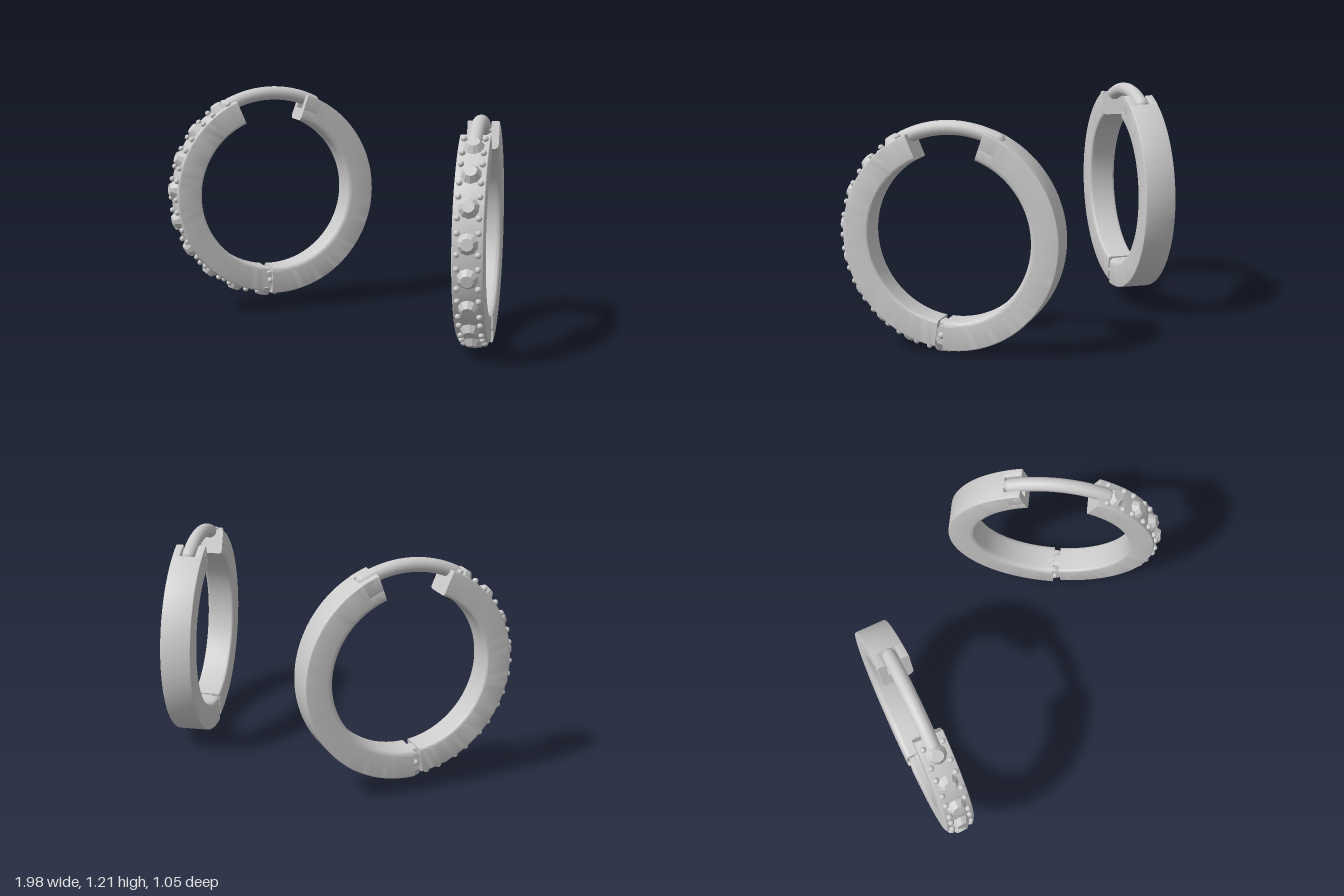
import * as THREE from 'three';
import { mergeGeometries, toCreasedNormals } from 'three/addons/utils/BufferGeometryUtils.js';

const material = new THREE.MeshStandardMaterial({ color: 0xcccccc });
const rad = THREE.MathUtils.degToRad;

function part(name, geometry, parent, x = 0, y = 0, z = 0) {
  const mesh = new THREE.Mesh(geometry, material);
  mesh.name = name;
  mesh.position.set(x, y, z);
  parent.add(mesh);
  return mesh;
}

// Cross-section of a band: radius against width, with rounded inner and outer edges
function section(r0, r1, w0, w1, inner, outer) {
  const s = new THREE.Shape();
  s.moveTo(r0 + inner, w0);
  s.lineTo(r1 - outer, w0);
  s.quadraticCurveTo(r1, w0, r1, w0 + outer);
  s.lineTo(r1, w1 - outer);
  s.quadraticCurveTo(r1, w1, r1 - outer, w1);
  s.lineTo(r0 + inner, w1);
  s.quadraticCurveTo(r0, w1, r0, w1 - inner);
  s.lineTo(r0, w0 + inner);
  s.quadraticCurveTo(r0, w0, r0 + inner, w0);
  return s;
}

// Solid arc of a section about the x axis; angles in degrees, from +z up towards +y
function arcBand(shape, from, to) {
  const a = rad(from), b = rad(to);
  const points = shape.getPoints(6);
  const steps = Math.max(4, Math.ceil((to - from) / 3));
  const wall = new THREE.LatheGeometry(points, steps, a, b - a);
  const startCap = new THREE.ShapeGeometry(shape, 6).rotateY(a - Math.PI / 2);
  const endCap = new THREE.ShapeGeometry(shape, 6).rotateY(b - Math.PI / 2);
  endCap.index.array.reverse();
  const solid = mergeGeometries([wall, startCap, endCap]).rotateZ(Math.PI / 2);
  return toCreasedNormals(solid, rad(35));
}

// Faceted stone held by four round prongs, pointing outward at the given angle
function addStone(parent, degrees) {
  const a = rad(degrees), r = 0.53;
  const stone = new THREE.Group();
  stone.name = 'stoneSetting';
  stone.position.set(0, r * Math.sin(a), r * Math.cos(a));
  stone.rotation.x = Math.PI / 2 - a;
  const gem = new THREE.CylinderGeometry(0.03, 0.06, 0.045, 10);
  part('stone', toCreasedNormals(gem, rad(20)), stone, 0, 0.02, 0);
  for (const x of [-1, 1]) {
    for (const z of [-1, 1]) {
      part('prong', new THREE.SphereGeometry(0.015, 12, 8), stone, x * 0.05, 0.016, z * 0.05);
    }
  }
  parent.add(stone);
}

function createEarring(name) {
  const hoop = new THREE.Group();
  hoop.name = name;

  // Front half with its row of stones
  part('frontBand', arcBand(section(0.412, 0.542, -0.074, 0.074, 0.015, 0.008), -82, 67), hoop);
  for (let i = 0; i < 9; i++) addStone(hoop, 57 - i * 17.6);

  // Plain back half, ending in a fork that takes the wire
  part('backBand', arcBand(section(0.41, 0.552, -0.08, 0.08, 0.028, 0.006), 119, 273.5), hoop);
  part('forkBase', arcBand(section(0.41, 0.475, -0.08, 0.08, 0.028, 0.002), 109.5, 119), hoop);
  for (const s of [-1, 1]) {
    const cheek = section(0.47, 0.552, s * 0.06 - 0.02, s * 0.06 + 0.02, 0.001, 0.004);
    part('forkCheek', arcBand(cheek, 109.5, 119), hoop);
  }

  // Curved ear wire with rounded tips and its pivot pin
  const wireRadius = 0.533, from = 62, to = 116;
  const wire = new THREE.TorusGeometry(wireRadius, 0.036, 16, 32, rad(to - from));
  part('earWire', wire.rotateZ(rad(from)).rotateY(-Math.PI / 2), hoop);
  for (const d of [from, to]) {
    part('wireTip', new THREE.SphereGeometry(0.036, 16, 12), hoop,
      0, wireRadius * Math.sin(rad(d)), wireRadius * Math.cos(rad(d)));
  }
  part('wirePin', new THREE.CylinderGeometry(0.012, 0.012, 0.164, 12).rotateZ(Math.PI / 2), hoop,
    0, 0.515 * Math.sin(rad(113)), 0.515 * Math.cos(rad(113)));

  // Bottom hinge: tongue of the front half, knuckles of the back half, and pin
  part('hingeTongue', arcBand(section(0.42, 0.54, -0.035, 0.035, 0.01, 0.01), -88, -81), hoop);
  for (const s of [-1, 1]) {
    const knuckle = new THREE.CylinderGeometry(0.048, 0.048, 0.028, 24).rotateZ(Math.PI / 2);
    part('hingeKnuckle', knuckle, hoop, s * 0.052, -0.48, 0.03);
    part('hingePinHead', new THREE.SphereGeometry(0.016, 12, 8), hoop, s * 0.066, -0.48, 0.04);
  }
  return hoop;
}

export function createModel() {
  const model = new THREE.Group();
  model.name = 'hoopEarrings';

  const left = createEarring('leftEarring');
  left.position.set(0.68, 0.572, -0.015);
  left.rotation.y = rad(27);

  const right = createEarring('rightEarring');
  right.position.set(-0.645, 0.642, -0.01);
  right.rotation.y = rad(-31.5);

  model.add(left, right);
  return model;
}
